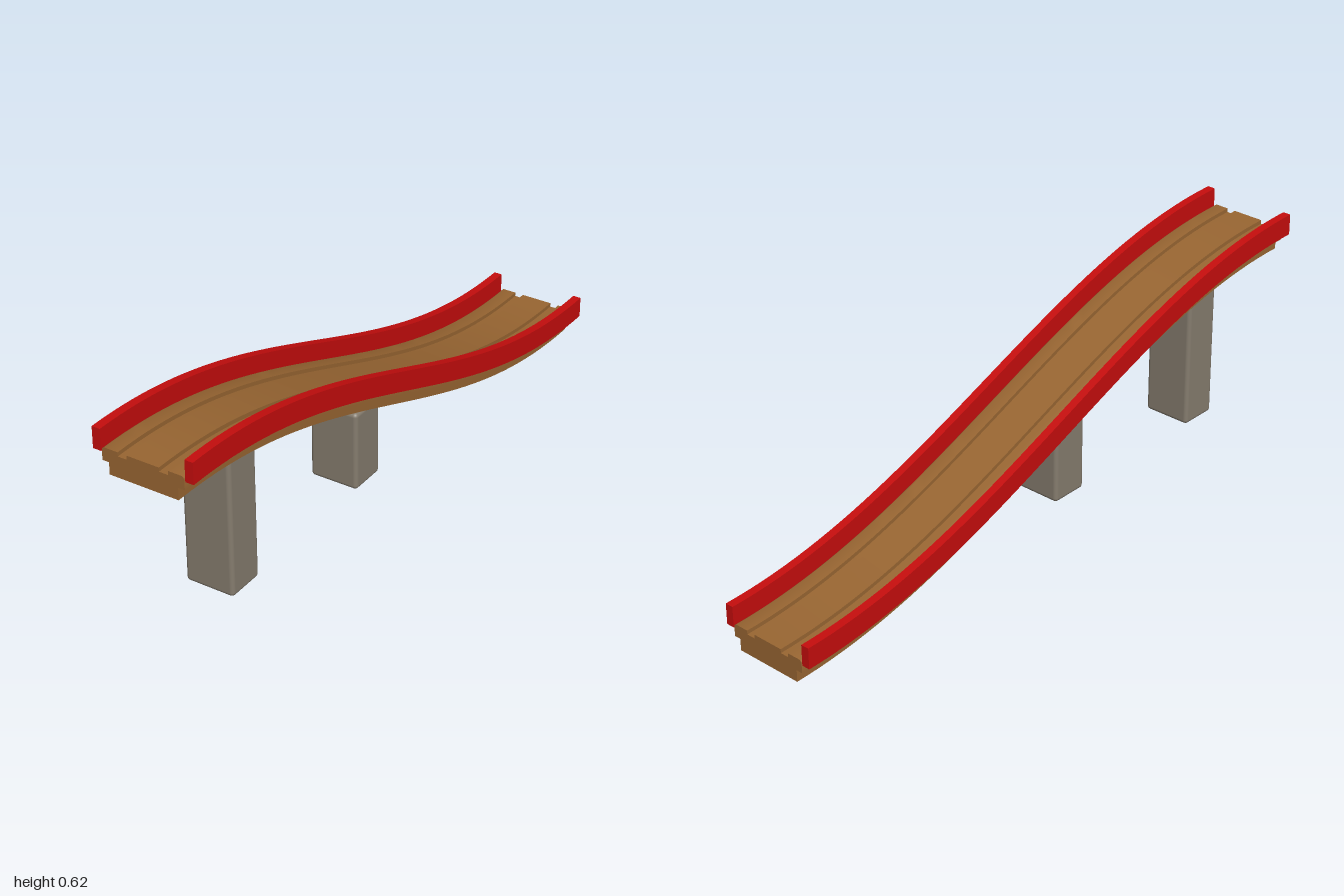
import * as THREE from 'three';
import { toCreasedNormals } from 'three/addons/utils/BufferGeometryUtils.js';
import { RoundedBoxGeometry } from 'three/addons/geometries/RoundedBoxGeometry.js';

const material = (name, color) => {
  const m = new THREE.MeshStandardMaterial({ color });
  m.name = name;
  return m;
};

// Height of the slope: level at both ends, 0.5 high at the front
const rise = z => 0.25 * (1 + Math.sin(z * Math.PI / 2));

// Sweep a cross-section from back to front along the slope
function sweep(shape) {
  const geo = new THREE.ExtrudeGeometry(shape, { depth: 2, steps: 48, bevelEnabled: false, curveSegments: 5 });
  geo.translate(0, 0, -1);
  const p = geo.attributes.position;
  for (let i = 0; i < p.count; i++) p.setY(i, p.getY(i) + rise(p.getZ(i)));
  return toCreasedNormals(geo, 0.5);
}

export function createModel() {
  const group = new THREE.Group();
  const wood = material('wood', 0x996632);
  const red = material('red', 0xc60d0d);
  const stone = material('stone', 0x857c6e);

  const add = (name, geo, mat) => {
    const mesh = new THREE.Mesh(geo, mat);
    mesh.name = name;
    group.add(mesh);
    return mesh;
  };

  // Track deck: narrow underside, rounded top edges, two wheel grooves
  const r = 0.01, top = 0.075, groove = 0.063;
  const s = new THREE.Shape();
  s.moveTo(-0.105, 0);
  s.lineTo(0.105, 0);
  s.lineTo(0.105, 0.036);
  s.lineTo(0.125, 0.036);
  s.lineTo(0.125, top - r);
  s.absarc(0.125 - r, top - r, r, 0, Math.PI / 2, false);
  for (const [a, b] of [[0.076, 0.049], [-0.049, -0.076]]) {
    s.lineTo(a, top);
    s.lineTo(a, groove);
    s.lineTo(b, groove);
    s.lineTo(b, top);
  }
  s.lineTo(-0.125 + r, top);
  s.absarc(-0.125 + r, top - r, r, Math.PI / 2, Math.PI, false);
  s.lineTo(-0.125, 0.036);
  s.lineTo(-0.105, 0.036);
  s.closePath();
  add('trackDeck', sweep(s), wood);

  // Side rails
  for (const [name, x] of [['leftRail', 0.14], ['rightRail', -0.14]]) {
    const h = 0.0125;
    const rail = new THREE.Shape([
      new THREE.Vector2(x - h, 0.061), new THREE.Vector2(x + h, 0.061),
      new THREE.Vector2(x + h, 0.125), new THREE.Vector2(x - h, 0.125),
    ]);
    add(name, sweep(rail), red);
  }

  // Support pillars: name, z, top height
  for (const [name, z, y] of [['tallPillar', 0.692, 0.467], ['shortPillar', 0.1, 0.286]]) {
    const base = 0.039;
    const pillar = add(name, new RoundedBoxGeometry(0.152, y - base, 0.12, 3, 0.012), stone);
    pillar.position.set(0, (y + base) / 2, z);
  }
  return group;
}
